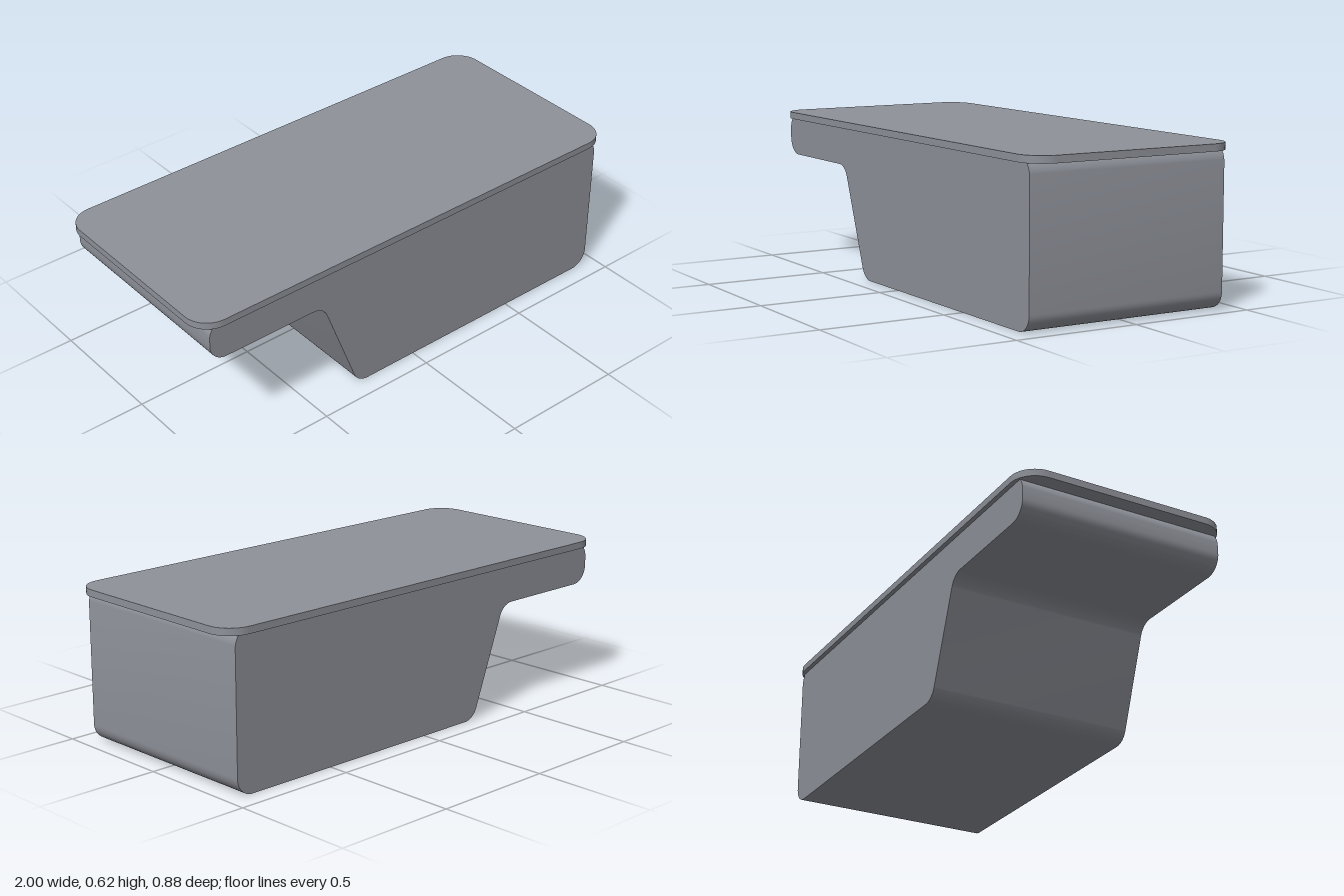
import * as THREE from 'three';
import { toCreasedNormals } from 'three/addons/utils/BufferGeometryUtils.js';

// Polygon with every corner rounded by a true arc
function roundedShape(corners, radius, steps = 12) {
  const pts = corners.map(([x, y]) => new THREE.Vector2(x, y));
  const out = [];
  pts.forEach((p, i) => {
    const u = pts[(i + pts.length - 1) % pts.length].clone().sub(p).normalize();
    const v = pts[(i + 1) % pts.length].clone().sub(p).normalize();
    const half = Math.acos(u.dot(v)) / 2;
    const reach = radius / Math.tan(half);
    const centre = u.clone().add(v).normalize().multiplyScalar(radius / Math.sin(half)).add(p);
    const start = p.clone().addScaledVector(u, reach).sub(centre);
    const end = p.clone().addScaledVector(v, reach).sub(centre);
    const sweep = Math.atan2(start.cross(end), start.dot(end));
    for (let k = 0; k <= steps; k++) {
      out.push(start.clone().rotateAround(new THREE.Vector2(), sweep * k / steps).add(centre));
    }
  });
  return new THREE.Shape(out);
}

// Straight extrusion, smooth round the arcs and sharp at the rims
function extrude(shape, depth) {
  const geometry = new THREE.ExtrudeGeometry(shape, { depth, bevelEnabled: false });
  geometry.translate(0, 0, -depth / 2);
  return toCreasedNormals(geometry, 0.5);
}

export function createModel() {
  const group = new THREE.Group();
  const grey = new THREE.MeshStandardMaterial({ color: 0x8e9199 });
  grey.name = 'cool grey';

  // Deep bin with a shallow shelf on the right, joined by a sloping wall
  const profile = [
    [-0.957, 0.445], [-0.447, 0.445], [-0.281, 0],
    [0.953, 0], [0.953, 0.62], [-0.957, 0.62],
  ];
  const body = new THREE.Mesh(extrude(roundedShape(profile, 0.07), 0.84), grey);
  body.name = 'containerBody';
  group.add(body);

  // Thin overhanging lid with rounded corners
  const outline = [[-1, -0.4375], [1, -0.4375], [1, 0.4375], [-1, 0.4375]];
  const lidGeometry = extrude(roundedShape(outline, 0.1), 0.028);
  lidGeometry.rotateX(-Math.PI / 2);
  const lid = new THREE.Mesh(lidGeometry, grey);
  lid.name = 'lid';
  lid.position.y = 0.611;
  group.add(lid);

  return group;
}
